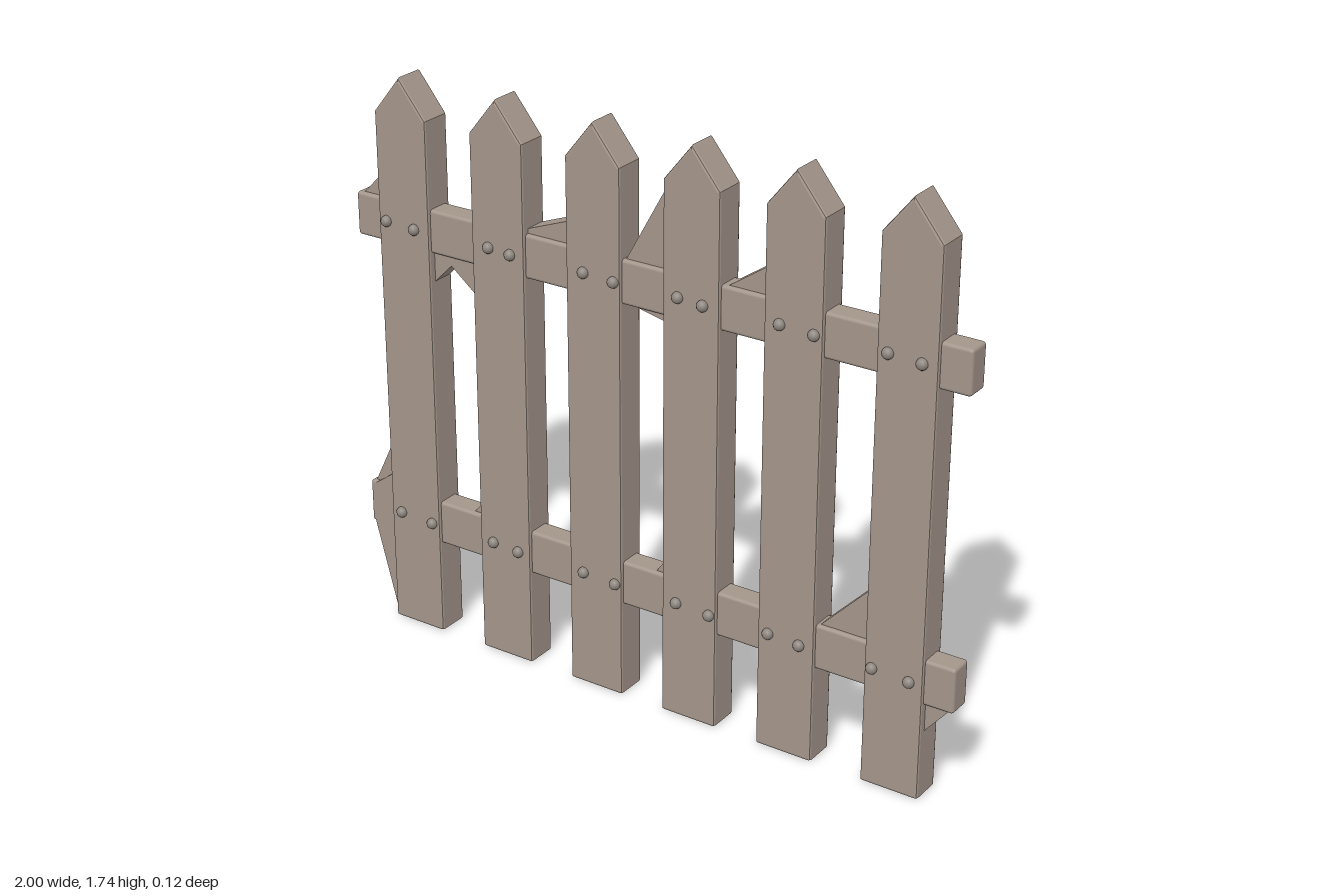
import * as THREE from 'three';
import { RoundedBoxGeometry } from 'three/addons/geometries/RoundedBoxGeometry.js';

const wood = new THREE.MeshStandardMaterial({ color: 0xa3958a });
wood.name = 'weathered wood';
const iron = new THREE.MeshStandardMaterial({ color: 0x8e8780 });
iron.name = 'nail iron';

// Extrudes an outline between two depths, with softened front and back edges
function plank(points, z0, z1, bevel) {
  const shape = new THREE.Shape(points.map(([x, y]) => new THREE.Vector2(x, y)));
  const geo = new THREE.ExtrudeGeometry(shape, {
    depth: z1 - z0 - 2 * bevel, bevelEnabled: bevel > 0,
    bevelSize: bevel, bevelThickness: bevel, bevelOffset: -bevel, bevelSegments: 2,
  });
  return geo.translate(0, 0, z0 + bevel);
}

export function createModel() {
  const fence = new THREE.Group();
  fence.name = 'picketFence';
  const add = (name, geo, material = wood) => {
    const mesh = new THREE.Mesh(geo, material);
    mesh.name = name;
    fence.add(mesh);
    return mesh;
  };

  // Pointed pickets
  const h = 0.09;
  for (const x of [-0.82, -0.485, -0.16, 0.16, 0.48, 0.82]) {
    add('picket', plank([
      [x - h, 0.003], [x - h + 0.006, 0], [x + h - 0.006, 0], [x + h, 0.003],
      [x + h, 1.625], [x, 1.737], [x - h, 1.625],
    ], -0.06, 0.04, 0.008));
  }

  // Cross rails
  for (const [name, y, height] of [['lowerRail', 0.365, 0.138], ['upperRail', 1.295, 0.132]]) {
    add(name, new RoundedBoxGeometry(2, height, 0.074, 2, 0.01)).position.set(0, y, -0.009);
  }

  // Rough wedges of wood where pickets meet the rails
  const wedges = [
    [[-0.99, 1.35], [-0.91, 1.35], [-0.91, 1.43]],
    [[-0.73, 1.14], [-0.67, 1.2], [-0.57, 1.12], [-0.57, 1.24], [-0.73, 1.24]],
    [[-0.395, 1.35], [-0.25, 1.35], [-0.25, 1.43], [-0.395, 1.375]],
    [[-0.07, 1.35], [0.07, 1.35], [0.07, 1.6]],
    [[0.25, 1.35], [0.42, 1.35], [0.42, 1.465]],
    [[-0.07, 1.235], [0.07, 1.205], [0.07, 1.24]],
    [[-0.99, 0.425], [-0.91, 0.425], [-0.91, 0.59]],
    [[-0.62, 0.425], [-0.57, 0.425], [-0.57, 0.48]],
    [[0.03, 0.425], [0.07, 0.425], [0.07, 0.48]],
    [[0.57, 0.425], [0.73, 0.425], [0.73, 0.59]],
    [[0.91, 0.21], [0.99, 0.305], [0.91, 0.305]],
  ];
  for (const points of wedges) add('splitWedge', plank(points, -0.05, 0.015, 0));

  // Broad flare at the foot of the end picket
  add('footFlare', plank([[-0.908, 0.01], [-0.908, 0.48], [-0.985, 0.425], [-0.985, 0.3]], -0.05, 0.03, 0));

  // Domed nail heads, two per crossing
  const nail = new THREE.SphereGeometry(0.017, 12, 8);
  const rows = [
    [1.3, [-0.88, -0.78, -0.515, -0.44, -0.19, -0.09, 0.12, 0.2, 0.44, 0.545, 0.765, 0.865]],
    [0.367, [-0.87, -0.755, -0.525, -0.435, -0.2, -0.09, 0.12, 0.23, 0.425, 0.525, 0.755, 0.87]],
  ];
  for (const [y, xs] of rows) {
    xs.forEach((x, i) => add('nail', nail, iron).position.set(x, y - (i % 2) * 0.005, 0.043));
  }
  return fence;
}
